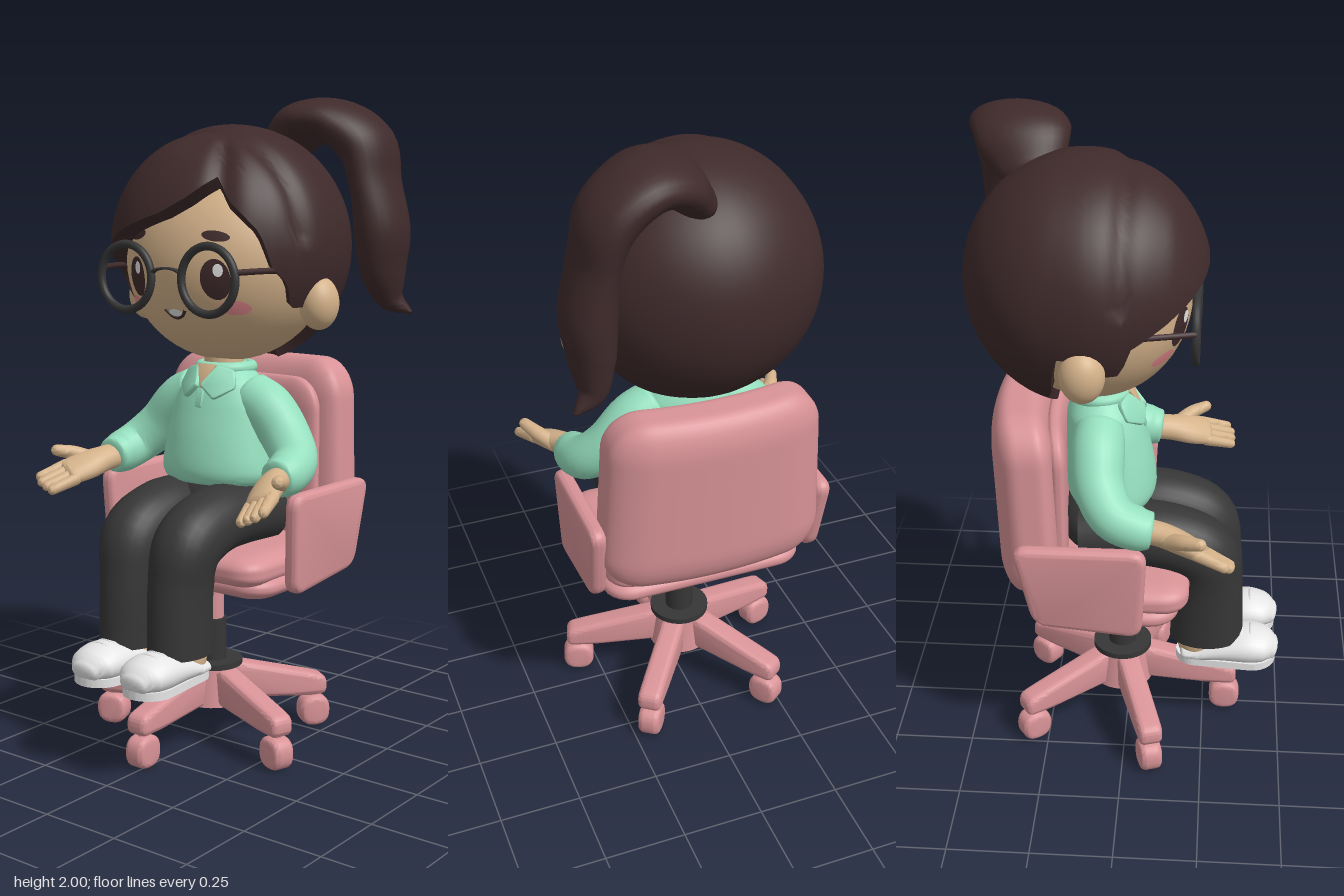
import * as THREE from 'three';
import { toCreasedNormals, mergeVertices } from 'three/addons/utils/BufferGeometryUtils.js';

const V = (x, y, z) => new THREE.Vector3(x, y, z);
const mat = (name, color) => Object.assign(new THREE.MeshStandardMaterial({ color }), { name });

// Closed skin over a list of rings (counter-clockwise around the travel direction)
function skin(rings) {
  const n = rings[0].length, pos = [], idx = [];
  rings.forEach(r => r.forEach(p => pos.push(p.x, p.y, p.z)));
  for (let i = 0; i < rings.length - 1; i++) for (let j = 0; j < n; j++) {
    const a = i * n + j, b = i * n + (j + 1) % n;
    idx.push(a, b, a + n, b, b + n, a + n);
  }
  const g = new THREE.BufferGeometry();
  g.setAttribute('position', new THREE.Float32BufferAttribute(pos, 3));
  g.setIndex(idx);
  return toCreasedNormals(g, 0.9);
}

// Elliptical tube through [x, y, z, radius across side, radius along side]; cap = roundness of the ends
function loft(pts, side, cap = 1, seg = 20) {
  const path = new THREE.CatmullRomCurve3(pts.map(p => V(p[0], p[1], p[2])));
  const size = new THREE.CatmullRomCurve3(pts.map(p => V(p[3], p[4], 0)));
  const rings = [], steps = (pts.length - 1) * 6;
  const ring = (u, shift, k) => {
    const T = path.getTangent(u), r = size.getPoint(u);
    const c = path.getPoint(u).addScaledVector(T, shift * Math.min(r.x, r.y));
    const n1 = side.clone().addScaledVector(T, -T.dot(side)).normalize();
    const n2 = T.clone().cross(n1);
    rings.push(Array.from({ length: seg }, (_, j) => {
      const a = j / seg * Math.PI * 2;
      return c.clone().addScaledVector(n1, Math.cos(a) * r.y * k).addScaledVector(n2, Math.sin(a) * r.x * k);
    }));
  };
  for (let k = 4; k > 0; k--) ring(0, -cap * Math.sin(k * Math.PI / 8), Math.cos(k * Math.PI / 8));
  for (let i = 0; i <= steps; i++) ring(i / steps, 0, 1);
  for (let k = 1; k <= 4; k++) ring(1, cap * Math.sin(k * Math.PI / 8), Math.cos(k * Math.PI / 8));
  return skin(rings);
}

// Bevelled slab from a polygon with rounded corners, centred in depth
function slab(points, r, depth, bevel) {
  const P = points.map(p => new THREE.Vector2(...p)), n = P.length, s = new THREE.Shape();
  P.forEach((p, i) => {
    const toward = q => p.clone().add(q.clone().sub(p).setLength(Math.min(r, q.distanceTo(p) * 0.49)));
    const a = toward(P[(i + n - 1) % n]), b = toward(P[(i + 1) % n]);
    i ? s.lineTo(a.x, a.y) : s.moveTo(a.x, a.y);
    s.quadraticCurveTo(p.x, p.y, b.x, b.y);
  });
  s.closePath();
  const g = new THREE.ExtrudeGeometry(s, { depth: depth - 2 * bevel, bevelThickness: bevel, bevelSize: bevel,
    bevelOffset: -bevel, bevelSegments: 6, curveSegments: 8 });
  return toCreasedNormals(g.translate(0, 0, bevel - depth / 2), 0.7);
}

// Padded block: half sizes h, rounding radii r per axis, sides bent forward, top narrowed
function cushion(h, r, bend = 0, taper = 0) {
  let g = new THREE.BoxGeometry(h[0] * 2, h[1] * 2, h[2] * 2, 32, 32, 16);
  g.deleteAttribute('uv');
  g.deleteAttribute('normal');
  g = mergeVertices(g, 1e-5);
  const p = g.attributes.position;
  for (let i = 0; i < p.count; i++) {
    const v = [p.getX(i), p.getY(i), p.getZ(i)];
    const core = v.map((c, k) => THREE.MathUtils.clamp(c, r[k] - h[k], h[k] - r[k]));
    const u = V(...v.map((c, k) => (c - core[k]) / r[k])).normalize();
    const x = (core[0] + u.x * r[0]), y = core[1] + u.y * r[1];
    p.setXYZ(i, x * (1 - taper * y / h[1]), y, core[2] + u.z * r[2] + bend * x * x);
  }
  g.computeVertexNormals();
  return g;
}

const ball = (rx, ry, rz) => new THREE.SphereGeometry(1, 40, 28).scale(rx, ry, rz);
const faceZ = (x, y) => -0.1 + 0.29 * Math.sqrt(1 - (x / 0.33) ** 2 - ((y - 1.51) / 0.31) ** 2);

// Thin oval lying on the face
function facePatch(x, y, rx, ry, lift, turn = 0) {
  const g = new THREE.RingGeometry(0, 1, 28, 4).scale(rx, ry, 1).rotateZ(turn).translate(x, y, 0);
  const p = g.attributes.position;
  for (let i = 0; i < p.count; i++) p.setZ(i, faceZ(p.getX(i), p.getY(i)) + lift);
  g.computeVertexNormals();
  return g;
}

// Hair cap: an ellipsoid cut off at a hairline height that changes with azimuth (degrees, 0 = front)
const HAIRLINE = [[-180, 1.21], [-125, 1.21], [-108, 1.3], [-100, 1.44], [-86, 1.44], [-82, 1.38], [-69, 1.38],
  [-65, 1.47], [-45, 1.545], [-30, 1.59], [0, 1.655], [13, 1.7], [28, 1.77], [35, 1.69], [49, 1.6], [55, 1.5],
  [64, 1.45], [68, 1.38], [82, 1.38], [86, 1.44], [100, 1.44], [108, 1.3], [125, 1.21], [180, 1.21]];
function hairCap() {
  const NA = 144, NT = 36, rings = [];
  const bump = (d, c, w) => Math.exp(-(((d - c) / w) ** 2));
  const edge = d => {
    const i = Math.max(1, HAIRLINE.findIndex(h => h[0] >= d)), [a, b] = [HAIRLINE[i - 1], HAIRLINE[i]];
    return Math.acos((a[1] + (b[1] - a[1]) * (d - a[0]) / (b[0] - a[0]) - 1.55) / 0.37);
  };
  for (let i = 0; i <= NT + 2; i++) rings.push(Array.from({ length: NA }, (_, j) => {
    const d = 180 - j * 360 / NA, a = d * Math.PI / 180, t = Math.min(1, i / NT), p = t * edge(d), sp = Math.sin(p);
    const z = 0.355 * sp * Math.cos(a) - 0.12;
    let k = [1, 0.94, 0.84][Math.max(0, i - NT)];
    if (p < 1.5) k *= 1 - 0.03 * bump(z, 0, 0.03);                                    // fringe crease
    if (z > 0) k *= 1 - 0.05 * bump(d, 30, 7) * Math.min(1, z / 0.06);                // parting
    if (z > 0) k *= 1 + 0.055 * bump(d, -28, 32) * Math.min(1, z / 0.12);             // full fringe
    if (z < -0.1) k *= 1 + (0.012 * Math.cos(6 * a) + 0.025 * bump(Math.abs(d), 148, 22))
      * sp * Math.min(1, (-0.1 - z) / 0.1);                                           // back locks
    return V(0.365 * sp * Math.sin(a) * k, 1.55 + 0.37 * Math.cos(p) * k, -0.12 + 0.355 * sp * Math.cos(a) * k);
  }));
  return skin(rings);
}

export function createModel() {
  const root = new THREE.Group(), model = new THREE.Group();
  root.add(model);
  model.position.x = -0.012;
  const pink = mat('chair pink', 0xd89397), hair = mat('dark brown', 0x3f2a2b), skinTone = mat('skin', 0xd4b28a),
    mint = mat('mint', 0x95dfbe), black = mat('charcoal', 0x363636), white = mat('white', 0xe6e6e6),
    blush = mat('blush', 0xe58a8e);
  const part = (name, geo, m, x = 0, y = 0, z = 0, parent = model) => {
    const o = new THREE.Mesh(geo, m);
    o.name = name;
    o.position.set(x, y, z);
    parent.add(o);
    return o;
  };
  const X = V(1, 0, 0), rect = (w, h) => [[-w, -h], [w, -h], [w, h], [-w, h]];

  // Chair base: five legs with rounded casters
  for (let i = 0; i < 5; i++) {
    const leg = new THREE.Group();
    leg.name = 'baseLeg';
    leg.position.z = -0.02;
    leg.rotation.y = i * Math.PI * 2 / 5;
    model.add(leg);
    part('legBeam', slab([[0, 0.13], [0.29, 0.105], [0.38, 0.105], [0.38, 0.165], [0.33, 0.18], [0.09, 0.24], [0, 0.245]],
      0.025, 0.075, 0.018).rotateY(-Math.PI / 2), pink, 0, 0, 0, leg);
    part('casterStem', new THREE.CylinderGeometry(0.018, 0.018, 0.08, 12), pink, 0, 0.08, 0.34, leg);
    part('caster', slab(rect(0.05, 0.05), 0.05, 0.07, 0.018).rotateY(Math.PI / 2), pink, 0, 0.05, 0.342, leg);
  }
  part('hub', new THREE.CylinderGeometry(0.085, 0.1, 0.12, 32), pink, 0, 0.18, -0.02);
  part('hubDisc', new THREE.CylinderGeometry(0.095, 0.095, 0.018, 32), black, 0, 0.248, -0.02);
  part('columnSleeve', new THREE.CylinderGeometry(0.045, 0.045, 0.145, 28), black, 0, 0.317, -0.02);
  part('column', new THREE.CylinderGeometry(0.036, 0.036, 0.17, 28), pink, 0, 0.45, -0.02);

  // Seat, backrest and arms
  part('seatShell', cushion([0.325, 0.042, 0.23], [0.09, 0.04, 0.09]), pink, 0, 0.557, -0.06);
  part('seatCushion', cushion([0.315, 0.05, 0.24], [0.08, 0.042, 0.08]), pink, 0, 0.607, -0.04);
  part('backrest', cushion([0.338, 0.293, 0.09], [0.12, 0.12, 0.06], 0.4, 0.045), pink, 0, 0.912, -0.312).rotation.x = -0.04;
  part('backCushion', cushion([0.28, 0.25, 0.035], [0.1, 0.1, 0.03], 0.4), pink, 0, 0.9, -0.22);
  for (const s of [-1, 1]) {
    const arm = part('armrest', slab([[-0.265, -0.13], [0.062, -0.165], [0.077, 0.145], [-0.325, 0.145]],
      0.05, 0.05, 0.02).rotateY(-Math.PI / 2), pink, s * 0.357, 0.695, 0);
    arm.rotation.z = -s * 0.04;
  }

  // Trousers, ankles and shoes
  part('hips', ball(0.19, 0.12, 0.15), black, 0, 0.76, -0.07);
  for (const s of [-1, 1]) {
    const x = s * 0.095, h = s * 0.102;
    part('trouserLeg', loft([[h, 0.73, -0.14, 0.1, 0.105], [h, 0.74, 0, 0.1, 0.108], [h, 0.733, 0.12, 0.103, 0.108],
      [h, 0.68, 0.232, 0.108, 0.103], [x, 0.57, 0.255, 0.108, 0.092], [x, 0.36, 0.257, 0.117, 0.087]], X, 0, 28), black);
    part('ankle', ball(0.06, 0.09, 0.072), skinTone, x, 0.345, 0.235);
    part('shoe', loft([[x, 0.306, 0.185, 0.024, 0.06], [x, 0.31, 0.23, 0.029, 0.07], [x, 0.325, 0.3, 0.045, 0.078],
      [x, 0.332, 0.39, 0.058, 0.085], [x, 0.327, 0.44, 0.05, 0.078], [x, 0.318, 0.47, 0.034, 0.052]], X, 0.5, 28), white);
    const sole = new THREE.Shape();
    sole.absarc(0, 0.402, 0.079, 0, Math.PI);
    sole.absarc(0, 0.225, 0.064, Math.PI, Math.PI * 2);
    part('shoeSole', toCreasedNormals(new THREE.ExtrudeGeometry(sole, { depth: 0.025, bevelEnabled: false, curveSegments: 18 })
      .rotateX(Math.PI / 2), 0.6), white, x, 0.3, 0);
    for (const z of [0.335, 0.368, 0.4])
      part('lace', new THREE.TorusGeometry(0.06, 0.008, 8, 16, Math.PI).scale(1, 0.86, 1), white, x, 0.335, z);
  }

  // Sweater with collar, and neck
  part('sweaterBody', loft([[0, 0.835, -0.05, 0.125, 0.18], [0, 0.87, -0.05, 0.138, 0.193], [0, 0.96, -0.06, 0.135, 0.182],
    [0, 1.06, -0.072, 0.12, 0.168], [0, 1.13, -0.082, 0.105, 0.14], [0, 1.175, -0.085, 0.083, 0.095], [0, 1.195, -0.085, 0.07, 0.07]],
    X, 0.1, 40), mint);
  part('neck', new THREE.CylinderGeometry(0.06, 0.065, 0.12, 28), skinTone, 0, 1.2, -0.08);
  part('collarBand', new THREE.TorusGeometry(0.078, 0.02, 12, 32).rotateX(Math.PI / 2), mint, 0, 1.18, -0.09);
  part('openNeck', slab([[-0.035, 0.045], [0, -0.035], [0.035, 0.045]], 0.004, 0.008, 0.001), skinTone, 0, 1.155, 0.026).rotation.x = -0.5;
  part('placket', slab(rect(0.012, 0.03), 0.008, 0.01, 0.003), mint, 0, 1.095, 0.044).rotation.x = -0.25;
  for (const s of [-1, 1]) {
    const flap = part('collarFlap', slab([[0.004, -0.02], [0.058, -0.055], [0.115, 0], [0.095, 0.055], [0.036, 0.055]]
      .map(([x, y]) => [x * s, y]), 0.012, 0.018, 0.006), mint, 0, 1.152, 0.04);
    flap.rotation.set(-0.55, s * 0.45, 0);
  }

  // Arms and open hands
  for (const s of [-1, 1]) {
    const mirror = pts => pts.map(([x, ...r]) => [x * s, ...r]);
    const w = V(s * 0.85, 0.45, -0.25).normalize();
    part('sleeve', loft(mirror([[0.1, 1.1, -0.08, 0.075, 0.075], [0.17, 1.06, -0.08, 0.08, 0.08], [0.245, 0.98, -0.07, 0.076, 0.076],
      [0.305, 0.92, -0.025, 0.07, 0.07], [0.32, 0.893, 0.045, 0.066, 0.066], [0.32, 0.887, 0.085, 0.056, 0.056]]),
      V(s * 0.65, 0.75, 0), 0.15, 24), mint);
    part('palm', loft(mirror([[0.32, 0.888, 0.06, 0.038, 0.042], [0.33, 0.88, 0.12, 0.037, 0.045], [0.35, 0.865, 0.18, 0.034, 0.056],
      [0.372, 0.848, 0.235, 0.027, 0.054]]), w, 0.6), skinTone);
    for (let k = -1.5; k < 2; k++) {
      const b = V(s * 0.37, 0.848, 0.23).addScaledVector(w, k * 0.025), len = 0.97 - 0.07 * Math.abs(k - 0.3);
      part('finger', loft([[b.x, b.y, b.z, 0.021, 0.018],
        [b.x + s * 0.03 * len, b.y - 0.03 * len, b.z + 0.094 * len, 0.016, 0.015]], w, 1, 12), skinTone);
    }
    part('thumb', loft(mirror([[0.36, 0.878, 0.14, 0.026, 0.026], [0.4, 0.9, 0.185, 0.023, 0.023], [0.426, 0.912, 0.232, 0.018, 0.018]]),
      V(0, 1, 0), 1, 14), skinTone);
  }

  // Head, face and glasses
  part('head', ball(0.33, 0.31, 0.29), skinTone, 0, 1.51, -0.1);
  const smile = new THREE.CatmullRomCurve3([-0.038, -0.02, 0, 0.02, 0.038].map(x => {
    const y = 1.346 + 18 * x * x;
    return V(x, y, faceZ(x, y) + 0.002);
  }));
  part('smile', new THREE.TubeGeometry(smile, 20, 0.005, 6), hair);
  part('teeth', facePatch(0, 1.362, 0.025, 0.011, 0.004), white);
  for (const s of [-1, 1]) {
    part('ear', ball(0.058, 0.08, 0.065), skinTone, s * 0.332, 1.39, -0.108);
    part('eye', facePatch(s * 0.147, 1.465, 0.042, 0.06, 0.004), hair);
    part('eyeGlint', facePatch(s * 0.147 + 0.012, 1.492, 0.014, 0.019, 0.008), white);
    part('eyebrow', facePatch(s * 0.145, 1.59, 0.04, 0.015, 0.006, -s * 0.15), hair);
    part('cheek', facePatch(s * 0.185, 1.382, 0.038, 0.022, 0.004), blush);
    part('glassesRim', new THREE.TorusGeometry(0.098, 0.0125, 12, 48), black, s * 0.155, 1.465, 0.202);
    part('glassesTemple', new THREE.TubeGeometry(new THREE.CatmullRomCurve3(
      [V(s * 0.255, 1.49, 0.202), V(s * 0.285, 1.492, 0.1), V(s * 0.312, 1.49, -0.03)]), 16, 0.009, 8), hair);
  }
  part('glassesBridge', new THREE.TorusGeometry(0.05, 0.01, 10, 20, Math.PI).scale(1.15, 0.4, 1), black, 0, 1.475, 0.202);

  // Hair and ponytail
  part('hair', hairCap(), hair);
  part('ponytail', loft([[0.07, 1.85, -0.28, 0.055, 0.1], [0.14, 1.92, -0.31, 0.07, 0.14], [0.235, 1.928, -0.34, 0.07, 0.142],
    [0.33, 1.86, -0.36, 0.076, 0.13], [0.367, 1.74, -0.36, 0.064, 0.115], [0.39, 1.6, -0.365, 0.076, 0.11],
    [0.388, 1.48, -0.38, 0.064, 0.09], [0.4, 1.39, -0.41, 0.04, 0.05], [0.452, 1.35, -0.435, 0.008, 0.01]], V(0, 0, 1), 0.8, 28), hair);
  return root;
}
